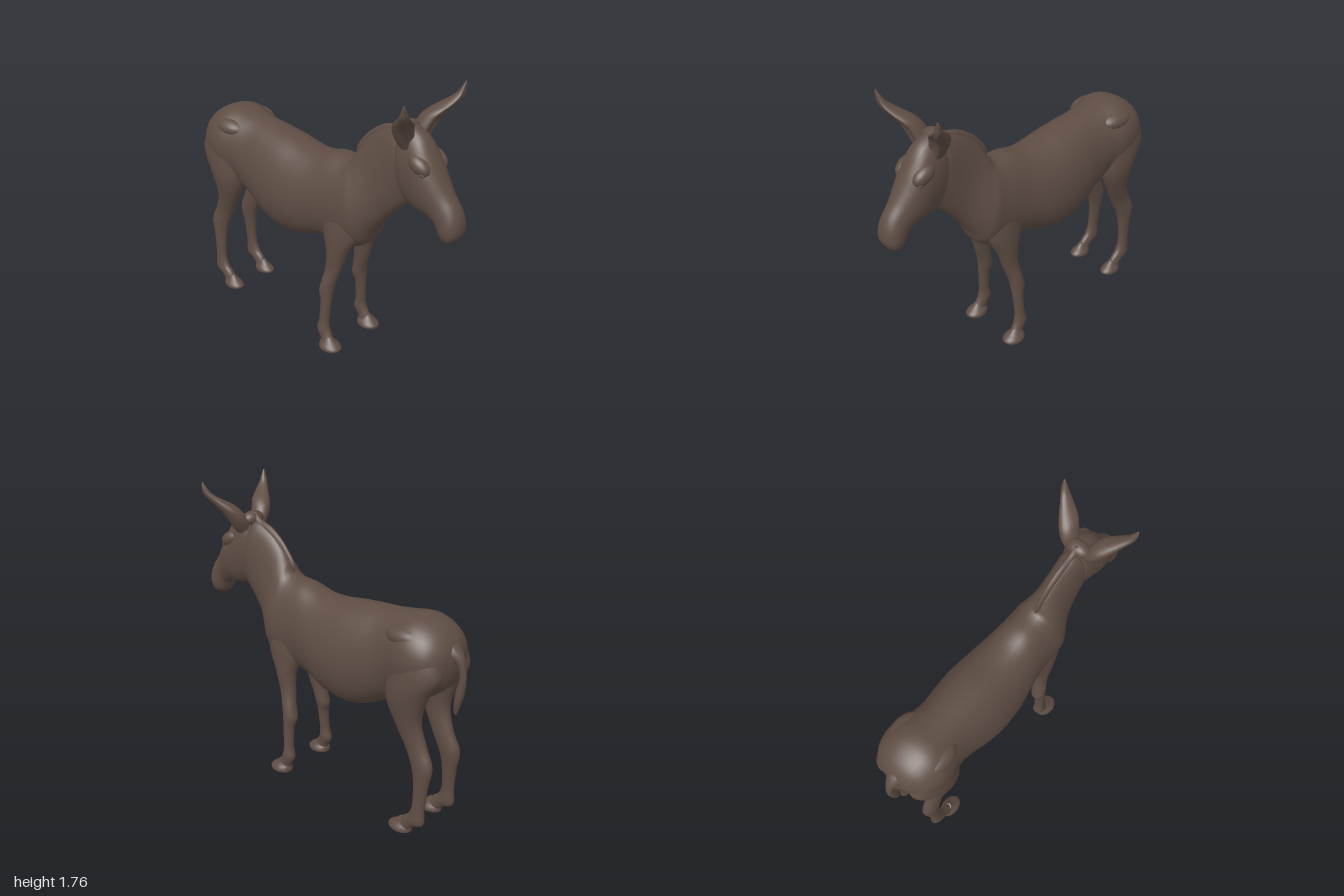
import * as THREE from 'three';

// Interpolate one value through four neighbours
const spline = (a, b, c, d, t) => {
  const m0 = (c - a) / 2, m1 = (d - b) / 2, t2 = t * t, t3 = t2 * t;
  return (2 * b - 2 * c + m0 + m1) * t3 + (-3 * b + 3 * c - 2 * m0 - m1) * t2 + m0 * t + b;
};

// Loft through oval sections: [z1, y1, z2, y2, centreX, halfWidth, egg]
// (z1,y1) and (z2,y2) are opposite points of the oval; egg widens the second end.
function loft(sections, { side = 1, power = 1, dent = 0, n = 28, steps = 5 } = {}) {
  const rows = [], last = sections.length - 1;
  const at = (i, j) => sections[Math.min(last, Math.max(0, i))][j] ?? 0;
  for (let i = 0; i <= last; i++) {
    for (let s = 0; s < (i === last ? 1 : steps); s++) {
      rows.push([0, 1, 2, 3, 4, 5, 6].map(j =>
        spline(at(i - 1, j), at(i, j), at(i + 1, j), at(i + 2, j), s / steps)));
    }
  }
  const pos = [], index = [];
  rows.forEach(([z1, y1, z2, y2, xc, w, egg]) => {
    for (let k = 0; k < n; k++) {
      const a = (k / n) * Math.PI * 2, c = Math.cos(a), sn = Math.sin(a);
      const h = c + dent * Math.max(0, -c) ** 4;
      pos.push(
        side * xc + w * Math.sign(sn) * Math.abs(sn) ** power * (1 - egg * c),
        Math.max(0, (y1 + y2) / 2 + (y1 - y2) / 2 * h),
        (z1 + z2) / 2 + (z1 - z2) / 2 * h);
    }
  });
  for (let r = 0; r < rows.length - 1; r++) {
    for (let k = 0; k < n; k++) {
      const a = r * n + k, b = r * n + (k + 1) % n;
      index.push(a, a + n, b, b, a + n, b + n);
    }
  }
  // End caps
  [0, rows.length - 1].forEach((r, end) => {
    const [z1, y1, z2, y2, xc] = rows[r], m = pos.length / 3;
    pos.push(side * xc, (y1 + y2) / 2, (z1 + z2) / 2);
    for (let k = 0; k < n; k++) {
      const a = r * n + k, b = r * n + (k + 1) % n;
      end ? index.push(m, b, a) : index.push(m, a, b);
    }
  });
  const g = new THREE.BufferGeometry();
  g.setAttribute('position', new THREE.Float32BufferAttribute(pos, 3));
  g.setIndex(index);
  g.computeVertexNormals();
  return g;
}

export function createModel() {
  const model = new THREE.Group();
  const coat = new THREE.MeshStandardMaterial({ color: 0x5e4d44 });
  coat.name = 'brownCoat';

  const add = (name, geometry) => {
    const mesh = new THREE.Mesh(geometry, coat);
    mesh.name = name;
    model.add(mesh);
    return mesh;
  };
  const blob = (name, p, r, tilt = 0) => {
    const mesh = add(name, new THREE.SphereGeometry(1, 24, 16));
    mesh.position.set(...p);
    mesh.scale.set(...r);
    mesh.rotation.x = tilt;
  };

  // Body, running from the rump through the chest and up the neck
  add('bodyAndNeck', loft([
    [-0.938, 1.1, -0.938, 1.02, 0, 0.04],
    [-0.915, 1.165, -0.91, 0.93, 0, 0.125],
    [-0.86, 1.225, -0.86, 0.87, 0, 0.185, -0.05],
    [-0.78, 1.267, -0.78, 0.81, 0, 0.215, -0.08],
    [-0.7, 1.28, -0.7, 0.78, 0, 0.219, -0.08],
    [-0.6, 1.265, -0.6, 0.75, 0, 0.197, -0.05],
    [-0.5, 1.252, -0.5, 0.7, 0, 0.194, 0.03],
    [-0.38, 1.24, -0.38, 0.635, 0, 0.213, 0.05],
    [-0.25, 1.225, -0.25, 0.605, 0, 0.224, 0.05],
    [-0.1, 1.203, -0.1, 0.62, 0, 0.214, 0.05],
    [0.02, 1.207, 0.02, 0.665, 0, 0.193, 0.05],
    [0.13, 1.238, 0.13, 0.68, 0, 0.174, 0.05],
    [0.22, 1.245, 0.27, 0.68, 0, 0.168, 0.05],
    [0.27, 1.265, 0.38, 0.74, 0, 0.165, 0.12],
    [0.3, 1.32, 0.43, 0.84, 0, 0.138, 0.25],
    [0.35, 1.39, 0.5, 0.94, 0, 0.103, 0.2],
    [0.43, 1.46, 0.58, 1.03, 0, 0.089, 0.12],
    [0.53, 1.51, 0.65, 1.1, 0, 0.085],
    [0.58, 1.52, 0.668, 1.12, 0, 0.08],
  ], { power: 0.9, n: 40 }));

  // Head, from the poll to the muzzle
  add('head', loft([
    [0.585, 1.5, 0.59, 1.25, 0, 0.06],
    [0.61, 1.548, 0.6, 1.18, 0, 0.085],
    [0.66, 1.552, 0.625, 1.13, 0, 0.096, -0.04],
    [0.74, 1.508, 0.675, 1.105, 0, 0.104, -0.06],
    [0.81, 1.412, 0.735, 1.09, 0, 0.107, -0.06],
    [0.86, 1.328, 0.79, 1.082, 0, 0.096, -0.05],
    [0.91, 1.25, 0.845, 1.06, 0, 0.083],
    [0.965, 1.18, 0.868, 1.02, 0, 0.08],
    [0.992, 1.12, 0.893, 0.985, 0, 0.08],
    [1.0, 1.06, 0.93, 0.972, 0, 0.064],
    [0.99, 1.02, 0.96, 0.985, 0, 0.03],
  ], { power: 0.9, n: 36 }));
  blob('poll', [0, 1.523, 0.62], [0.075, 0.047, 0.05]);

  // Upright mane along the crest of the neck
  add('mane', loft([
    [0.26, 1.27, 0.29, 1.25, 0, 0.006],
    [0.265, 1.31, 0.34, 1.27, 0, 0.016],
    [0.3, 1.365, 0.38, 1.32, 0, 0.018],
    [0.37, 1.44, 0.42, 1.39, 0, 0.02],
    [0.46, 1.5, 0.49, 1.44, 0, 0.022],
    [0.55, 1.53, 0.56, 1.47, 0, 0.022],
    [0.6, 1.573, 0.61, 1.5, 0, 0.02],
  ], { n: 16 }));

  // Tail with a thick root and a fuller tip
  add('tail', loft([
    [-0.9, 1.06, -0.9, 1.175, 0, 0.055],
    [-0.93, 1.07, -0.943, 1.14, 0, 0.043],
    [-0.952, 1.04, -0.98, 1.09, 0, 0.026],
    [-0.96, 0.98, -0.999, 0.99, 0, 0.019],
    [-0.942, 0.9, -0.993, 0.9, 0, 0.023],
    [-0.935, 0.83, -0.976, 0.83, 0, 0.021],
    [-0.938, 0.77, -0.954, 0.76, 0, 0.009],
  ], { n: 16 }));

  for (const [side, label] of [[1, 'left'], [-1, 'right']]) {
    // Broad ear with a shallow cup and upturned tip
    add(label + 'Ear', loft([
      [0.605, 1.44, 0.7, 1.42, 0.045, 0.035],
      [0.594, 1.515, 0.718, 1.495, 0.08, 0.051],
      [0.612, 1.575, 0.738, 1.56, 0.112, 0.055],
      [0.648, 1.615, 0.762, 1.605, 0.142, 0.053],
      [0.7, 1.655, 0.785, 1.645, 0.187, 0.036],
      [0.74, 1.69, 0.794, 1.685, 0.222, 0.024],
      [0.765, 1.73, 0.79, 1.73, 0.238, 0.014],
      [0.778, 1.757, 0.786, 1.757, 0.244, 0.005],
    ], { side, dent: 0.45 }));
    // Brow and eye, mostly sunk into the head
    blob(label + 'Brow', [side * 0.07, 1.38, 0.755], [0.045, 0.045, 0.075], 0.5);
    blob(label + 'Eye', [side * 0.091, 1.345, 0.785], [0.014, 0.015, 0.026], 0.5);
    // Hip bone, forming the upper corner of the rump
    blob(label + 'Hip', [side * 0.115, 1.175, -0.69], [0.081, 0.06, 0.125], 0.03);

    // Front leg from shoulder to pastern
    add(label + 'FrontLeg', loft([
      [0.34, 0.97, 0.14, 0.98, 0.095, 0.05],
      [0.37, 0.88, 0.11, 0.89, 0.103, 0.06],
      [0.36, 0.78, 0.115, 0.79, 0.108, 0.062],
      [0.3, 0.66, 0.155, 0.66, 0.117, 0.053],
      [0.262, 0.54, 0.152, 0.54, 0.124, 0.042],
      [0.232, 0.45, 0.138, 0.45, 0.137, 0.044],
      [0.22, 0.39, 0.123, 0.375, 0.144, 0.044],
      [0.212, 0.31, 0.14, 0.31, 0.153, 0.034],
      [0.204, 0.18, 0.137, 0.18, 0.162, 0.031],
      [0.208, 0.13, 0.123, 0.11, 0.165, 0.036],
      [0.225, 0.09, 0.148, 0.06, 0.167, 0.032],
      [0.26, 0.035, 0.165, 0.025, 0.17, 0.034],
    ], { side }));

    // Hind leg with haunch and hock, set closer together at the ground
    add(label + 'HindLeg', loft([
      [-0.66, 1.12, -0.85, 1.14, 0.1, 0.075],
      [-0.6, 1.06, -0.895, 1.1, 0.11, 0.096],
      [-0.58, 0.94, -0.925, 0.99, 0.119, 0.102],
      [-0.595, 0.8, -0.86, 0.87, 0.134, 0.085],
      [-0.665, 0.65, -0.815, 0.71, 0.129, 0.057],
      [-0.725, 0.53, -0.855, 0.57, 0.12, 0.043],
      [-0.775, 0.42, -0.905, 0.455, 0.125, 0.041],
      [-0.793, 0.33, -0.888, 0.33, 0.13, 0.033],
      [-0.797, 0.2, -0.876, 0.19, 0.136, 0.029],
      [-0.775, 0.13, -0.878, 0.09, 0.138, 0.034],
      [-0.735, 0.09, -0.825, 0.055, 0.138, 0.031],
      [-0.7, 0.035, -0.79, 0.025, 0.138, 0.033],
    ], { side }));

    // Low, flared hooves
    for (const [name, z, x, w] of [['FrontHoof', 0.305, 0.171, 0.06], ['HindHoof', -0.64, 0.138, 0.053]]) {
      add(label + name, loft([
        [z - 0.075, 0.08, z - 0.14, 0.05, x, w * 0.43],
        [z - 0.045, 0.053, z - 0.145, 0.04, x, w * 0.62],
        [z - 0.014, 0.031, z - 0.15, 0.026, x, w * 0.88],
        [z, 0.014, z - 0.153, 0.01, x, w],
        [z - 0.004, 0, z - 0.15, 0, x, w * 0.96],
      ], { side }));
    }
  }
  return model;
}
